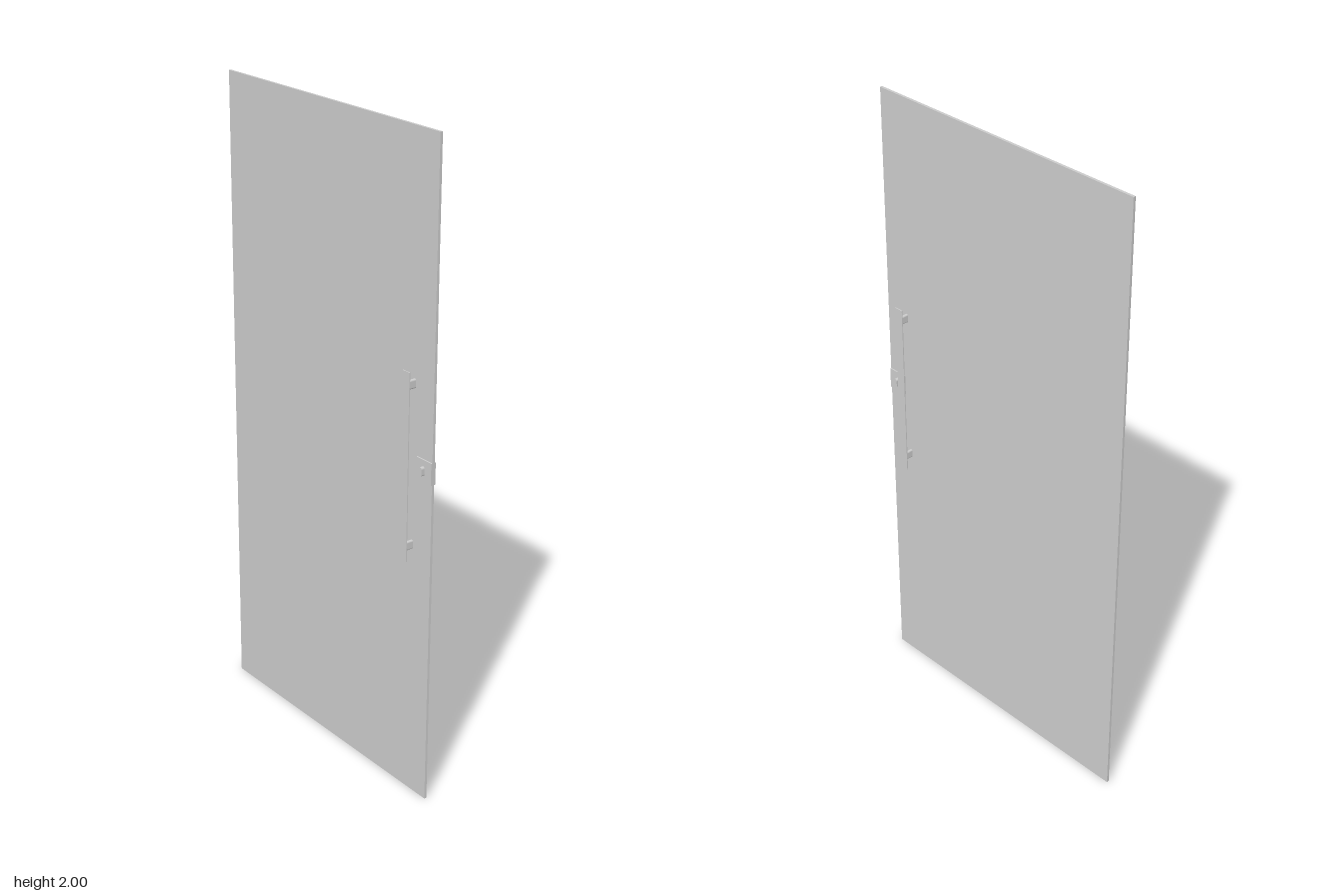
import * as THREE from 'three';

const grey = new THREE.MeshStandardMaterial({ color: 0xcccccc });

function box(name, w, h, d, x, y, z) {
  const m = new THREE.Mesh(new THREE.BoxGeometry(w, h, d), grey);
  m.name = name;
  m.position.set(x, y, z);
  return m;
}

// Bar along z with an upright, round-ended cross-section
function slotBar(name, w, h, d, x, y) {
  const r = w / 2, s = h / 2 - r;
  const shape = new THREE.Shape();
  shape.absarc(0, s, r, 0, Math.PI, false);
  shape.absarc(0, -s, r, Math.PI, Math.PI * 2, false);
  shape.closePath();
  const geo = new THREE.ExtrudeGeometry(shape, { depth: d, bevelEnabled: false, curveSegments: 10 });
  geo.translate(0, 0, -d / 2);
  const m = new THREE.Mesh(geo, grey);
  m.name = name;
  m.position.set(x, y, 0);
  return m;
}

export function createModel() {
  const door = new THREE.Group();
  door.name = 'door';

  // Thin door leaf
  door.add(box('doorPanel', 0.95, 2, 0.008, 0, 1, 0));

  // Flat pull bars on both faces, joined by posts through the leaf
  const handle = new THREE.Group();
  handle.name = 'pullHandle';
  for (const side of [1, -1]) {
    handle.add(box(side > 0 ? 'frontPullBar' : 'backPullBar', 0.029, 0.569, 0.003, 0.394, 1.05, side * 0.0345));
  }
  for (const y of [1.293, 0.807]) handle.add(slotBar('handlePost', 0.01, 0.028, 0.068, 0.394, y));
  door.add(handle);

  // Lock plate wrapping the leaf edge, with its cylinder passing through
  const lock = new THREE.Group();
  lock.name = 'lock';
  lock.add(box('lockPlate', 0.064, 0.066, 0.016, 0.443, 1.05, 0));
  lock.add(slotBar('lockCylinder', 0.013, 0.028, 0.038, 0.441, 1.05));
  door.add(lock);

  return door;
}
